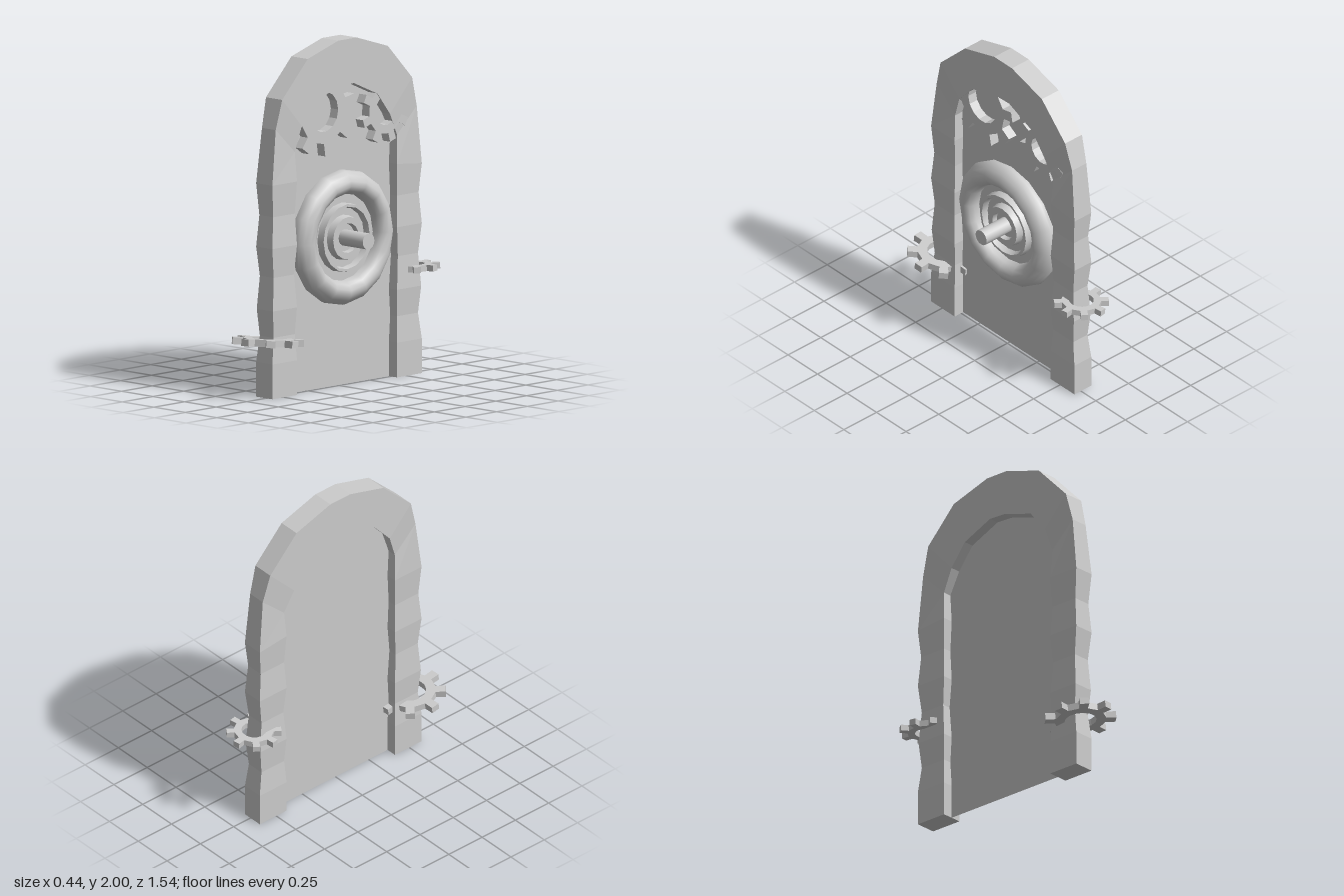
import * as THREE from 'three';
import { toCreasedNormals } from 'three/addons/utils/BufferGeometryUtils.js';

const mat = new THREE.MeshStandardMaterial({ color: 0xcccccc });
const flat = new THREE.MeshStandardMaterial({ color: 0xcccccc, flatShading: true });
const thin = new THREE.MeshStandardMaterial({ color: 0xcccccc, side: THREE.DoubleSide });

function add(parent, name, geometry, material = flat) {
  const mesh = new THREE.Mesh(geometry, material);
  mesh.name = name;
  parent.add(mesh);
  return mesh;
}

// Arch sections: outer x, outer y, inner x, inner y, inset of both faces
const sections = [
  [-0.592, 0, -0.392, 0, 0],
  [-0.592, 0.2, -0.392, 0.2, 0],
  [-0.572, 0.35, -0.4, 0.35, 0.01],
  [-0.587, 0.505, -0.392, 0.505, 0],
  [-0.572, 0.695, -0.406, 0.695, 0.01],
  [-0.592, 0.865, -0.392, 0.865, 0],
  [-0.576, 1.045, -0.4, 1.045, 0.01],
  [-0.592, 1.23, -0.392, 1.23, 0],
  [-0.555, 1.545, -0.4, 1.4, 0.01],
  [-0.512, 1.715, -0.353, 1.545, 0],
  [-0.305, 1.925, -0.242, 1.675, 0],
  [-0.056, 2, -0.04, 1.735, 0],
  [0.093, 2, 0.07, 1.74, 0],
  [0.347, 1.92, 0.263, 1.655, 0],
  [0.544, 1.715, 0.365, 1.525, 0],
  [0.592, 1.545, 0.432, 1.395, 0.01],
  [0.623, 1.21, 0.422, 1.23, 0],
  [0.607, 1.045, 0.432, 1.045, 0.01],
  [0.623, 0.865, 0.422, 0.865, 0],
  [0.602, 0.695, 0.438, 0.695, 0.01],
  [0.618, 0.505, 0.422, 0.505, 0],
  [0.602, 0.35, 0.432, 0.35, 0.01],
  [0.623, 0.2, 0.422, 0.2, 0],
  [0.623, 0, 0.422, 0, 0],
];

// Four-cornered loft through the sections, closed at both feet
function archGeometry() {
  const rings = sections.map(([ox, oy, ix, iy, d]) => [
    [ox, oy, 0.049 - d], [ox, oy, -0.08 + d], [ix, iy, -0.08 + d], [ix, iy, 0.049 - d],
  ]);
  const pos = [];
  const tri = (...points) => points.forEach((p) => pos.push(...p));
  for (let i = 0; i < rings.length - 1; i++) {
    for (let k = 0; k < 4; k++) {
      const n = (k + 1) % 4;
      const [a, b, c, d] = [rings[i][k], rings[i][n], rings[i + 1][k], rings[i + 1][n]];
      tri(a, c, b);
      tri(b, c, d);
    }
  }
  const s = rings[0], e = rings[rings.length - 1];
  tri(s[0], s[1], s[2]);
  tri(s[0], s[2], s[3]);
  tri(e[0], e[2], e[1]);
  tri(e[0], e[3], e[2]);
  const g = new THREE.BufferGeometry();
  g.setAttribute('position', new THREE.Float32BufferAttribute(pos, 3));
  g.computeVertexNormals();
  return g;
}

// Eight-toothed gear with a round hole, centred in its thickness
function gearGeometry(radius, thickness, degrees) {
  const shape = new THREE.Shape();
  const at = (r, a) => new THREE.Vector2(r * Math.cos(a), r * Math.sin(a));
  const points = [];
  for (let i = 0; i < 8; i++) {
    const a = THREE.MathUtils.degToRad(degrees + i * 45);
    points.push(at(radius * 0.72, a - 0.17), at(radius, a - 0.13),
      at(radius, a + 0.13), at(radius * 0.72, a + 0.17));
  }
  shape.setFromPoints(points);
  const hole = [];
  for (let i = 0; i < 14; i++) hole.push(at(radius * 0.45, -i * Math.PI / 7));
  shape.holes.push(new THREE.Path(hole));
  return new THREE.ExtrudeGeometry(shape, { depth: thickness, bevelEnabled: false })
    .translate(0, 0, -thickness / 2);
}

export function createModel() {
  const model = new THREE.Group();
  model.name = 'archedDoor';

  // The door is built facing +z, then turned to face +x
  const door = new THREE.Group();
  door.name = 'door';
  door.rotation.y = Math.PI / 2;
  model.add(door);

  add(door, 'archFrame', archGeometry());

  // Thin panel whose edge is buried inside the frame
  const outline = sections.map(([ox, oy, ix, iy]) =>
    new THREE.Vector2(ix + (ox - ix) * 0.3, iy + (oy - iy) * 0.3));
  add(door, 'doorPanel', new THREE.ShapeGeometry(new THREE.Shape(outline)).translate(0, 0, -0.016), thin);

  // Gears mounted on the panel under the arch
  add(door, 'largePanelGear', gearGeometry(0.258, 0.058, 10)).position.set(-0.167, 1.602, 0.014);
  add(door, 'smallPanelGear', gearGeometry(0.19, 0.058, 18)).position.set(0.337, 1.55, 0.014);

  // Round wheel with concentric rings
  const wheel = new THREE.Group();
  wheel.name = 'wheel';
  wheel.position.set(0.018, 0.854, 0);
  door.add(wheel);
  const lathe = (pts) => toCreasedNormals(
    new THREE.LatheGeometry(pts.map(([r, y]) => new THREE.Vector2(r, y)), 16).rotateX(Math.PI / 2), 0.75);
  add(wheel, 'wheelRim', lathe([[0.385, -0.016], [0.39, 0.01], [0.383, 0.035], [0.362, 0.058],
    [0.33, 0.081], [0.3, 0.083], [0.272, 0.066], [0.255, 0.04], [0.25, -0.01]]), mat);
  add(wheel, 'wheelRings', lathe([[0.255, 0.005], [0.2, 0.005], [0.195, 0.05], [0.18, 0.05], [0.172, 0.012],
    [0.13, 0.012], [0.122, 0.055], [0.085, 0.055], [0.08, 0.025], [0.04, 0.025]]), mat);

  // Shaft standing out of the wheel
  const shaft = new THREE.CylinderGeometry(0.047, 0.047, 0.227, 16).rotateX(Math.PI / 2);
  add(wheel, 'shaft', toCreasedNormals(shaft, 0.75), mat).position.z = 0.1035;

  // Slightly tilted horizontal gears around the door posts
  const big = add(model, 'largePostGear', gearGeometry(0.205, 0.04, 4).rotateX(-Math.PI / 2));
  big.position.set(-0.015, 0.32, 0.563);
  big.rotation.set(-0.1, 0, 0.03);
  const small = add(model, 'smallPostGear', gearGeometry(0.158, 0.035, 10).rotateX(-Math.PI / 2));
  small.position.set(-0.014, 0.607, -0.611);
  small.rotation.set(0.01, 0, 0.05);

  return model;
}
